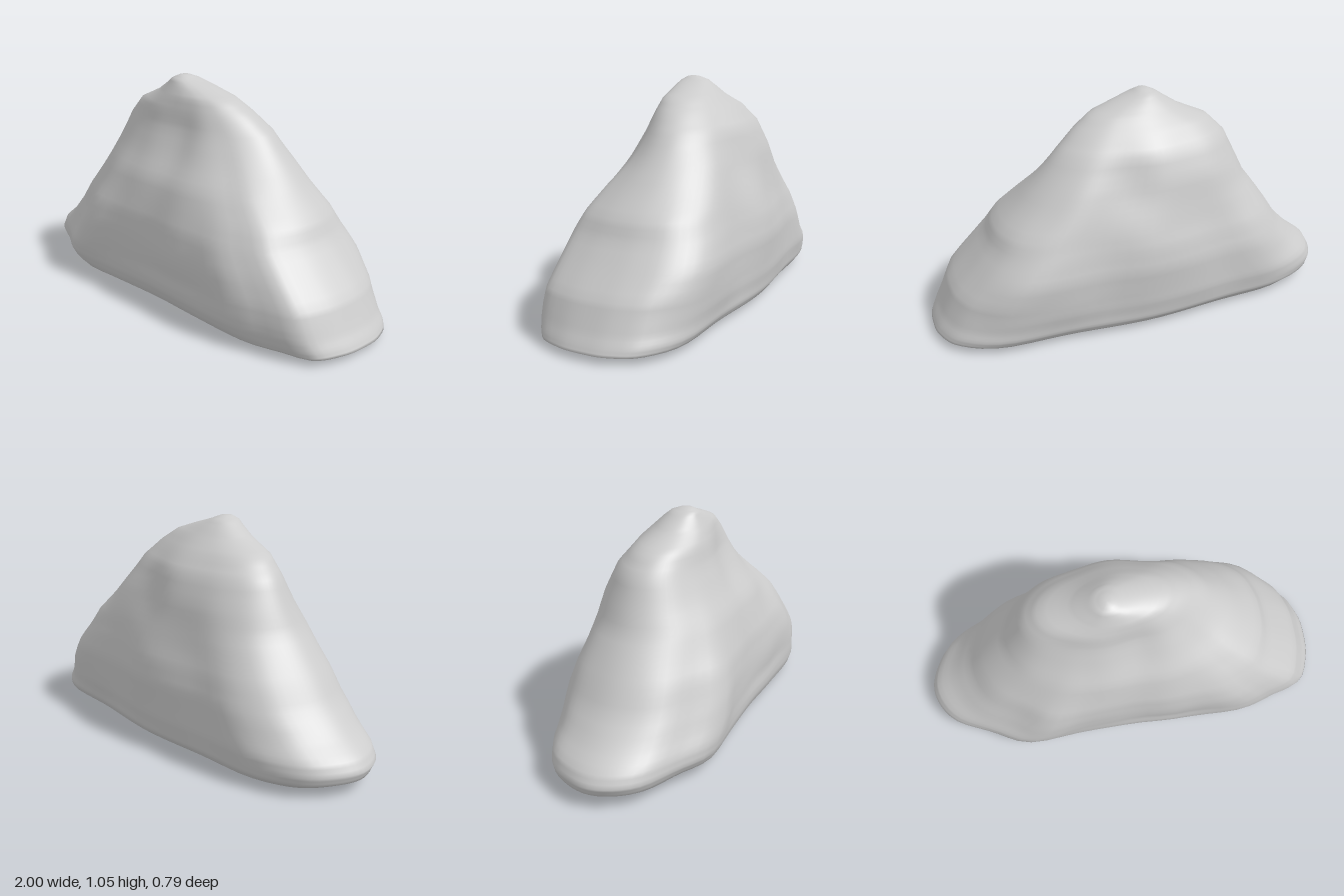
import * as THREE from 'three';

const SEGMENTS = 80;
const STEPS = 3; // rings between neighbouring cross-sections

// cross-sections from the ground up: [y, xMin, xMax, zMin, zMax]
const SECTIONS = [
  [0.003, -0.66, 0.83, -0.20, 0.20],
  [0.014, -0.82, 0.96, -0.29, 0.30],
  [0.03, -0.93, 1.00, -0.345, 0.35],
  [0.06, -0.985, 0.985, -0.365, 0.37],
  [0.10, -1.00, 0.96, -0.37, 0.385],
  [0.15, -0.97, 0.935, -0.38, 0.39],
  [0.22, -0.88, 0.90, -0.385, 0.39],
  [0.32, -0.78, 0.81, -0.39, 0.385],
  [0.42, -0.71, 0.725, -0.37, 0.37],
  [0.50, -0.65, 0.68, -0.345, 0.345],
  [0.60, -0.575, 0.575, -0.315, 0.315],
  [0.70, -0.525, 0.485, -0.285, 0.26],
  [0.82, -0.465, 0.385, -0.235, 0.205],
  [0.90, -0.385, 0.29, -0.17, 0.18],
  [0.96, -0.25, 0.20, -0.11, 0.155],
  [1.00, -0.185, 0.085, -0.065, 0.13],
  [1.03, -0.14, -0.01, -0.025, 0.11],
  [1.047, -0.10, -0.05, 0.02, 0.08],
];

// footprint of the rock, normalised to -1..1 on both axes, from +x towards +z
const FOOTPRINT = new THREE.CatmullRomCurve3([
  [1, 0], [0.98, 0.4], [0.9, 0.77], [0.78, 0.86], [0.6, 0.99], [0.25, 0.98], [0, 0.95],
  [-0.3, 0.97], [-0.54, 0.98], [-0.72, 0.76], [-0.9, 0.53], [-1, 0.1],
  [-0.97, -0.3], [-0.87, -0.63], [-0.68, -0.84], [-0.4, -0.9], [0, -1],
  [0.4, -0.93], [0.74, -0.9], [0.92, -0.65], [0.99, -0.3],
].map(([x, z]) => new THREE.Vector3(x, 0, z)), true);

const { smoothstep, lerp } = THREE.MathUtils;
const bump = (v, centre, width) => Math.exp(-(((v - centre) / width) ** 2));

// gentle lumps over the surface
const lumps = (x, y, z) =>
  0.006 * Math.sin(6 * x + 3 * y + 2 * z) * Math.sin(4 * y - 5 * x + 4 * z) +
  0.004 * Math.sin(14 * x - 5 * y + 3) * Math.sin(7 * y + 6 * z + 6 * x);

function makeRings() {
  const rings = [];
  for (let s = 0; s < SECTIONS.length - 1; s++) {
    for (let k = 0; k < STEPS; k++) {
      rings.push(SECTIONS[s].map((v, i) => lerp(v, SECTIONS[s + 1][i], k / STEPS)));
    }
  }
  rings.push(SECTIONS[SECTIONS.length - 1]);
  return rings;
}

function rockGeometry() {
  const outline = FOOTPRINT.getSpacedPoints(SEGMENTS).slice(0, SEGMENTS);
  const rings = makeRings();
  const positions = [];
  const indices = [];
  for (const [y, x0, x1, z0, z1] of rings) {
    const round = smoothstep(y, 0.25, 0.9) * 0.9;
    const rough = smoothstep(y, 0.03, 0.2) * (1 - 0.7 * smoothstep(y, 0.8, 1));
    for (const p of outline) {
      // the footprint turns into an ellipse towards the peak
      const r = lerp(1, 1 / Math.hypot(p.x, p.z), round);
      const nx = p.x * r, nz = p.z * r;
      const x = (x0 + x1) / 2 + nx * (x1 - x0) / 2;
      let z = (z0 + z1) / 2 + nz * (z1 - z0) / 2;
      const d = rough * lumps(x, y, z);
      const front = Math.max(nz, 0), back = Math.max(-nz, 0);
      z += 1.4 * d * nz;
      // hollows down the front and back, and a lip along the front foot
      z -= front * 0.03 * bump(x, 0.04, 0.11) * bump(y, 0.76, 0.17);
      z -= front * 0.012 * bump(x, 0.15, 0.25) * bump(y, 0.19, 0.05);
      z += back * 0.025 * bump(x, 0.08, 0.12) * bump(y, 0.68, 0.15);
      // the front falls back on its left
      z -= (0.5 + 0.5 * nz) * 0.1 * smoothstep(y, 0.4, 0.85) * Math.max(x, 0);
      positions.push(x + 0.6 * d * nx, y, z);
    }
  }

  // side quads between rings
  for (let j = 0; j < rings.length - 1; j++) {
    for (let i = 0; i < SEGMENTS; i++) {
      const a = j * SEGMENTS + i, b = j * SEGMENTS + (i + 1) % SEGMENTS;
      const c = a + SEGMENTS, e = b + SEGMENTS;
      indices.push(a, c, b, b, c, e);
    }
  }

  // underside and rounded tip
  const base = positions.length / 3;
  positions.push(0.085, 0, 0, -0.077, 1.051, 0.053);
  const last = (rings.length - 1) * SEGMENTS;
  for (let i = 0; i < SEGMENTS; i++) {
    const n = (i + 1) % SEGMENTS;
    indices.push(base, i, n, base + 1, last + n, last + i);
  }

  const geometry = new THREE.BufferGeometry();
  geometry.setAttribute('position', new THREE.Float32BufferAttribute(positions, 3));
  geometry.setIndex(indices);
  geometry.computeVertexNormals();
  return geometry;
}

export function createModel() {
  const group = new THREE.Group();
  group.name = 'boulder';
  const rock = new THREE.Mesh(rockGeometry(), new THREE.MeshStandardMaterial({ color: 0xcccccc }));
  rock.name = 'rock';
  group.add(rock);
  return group;
}
